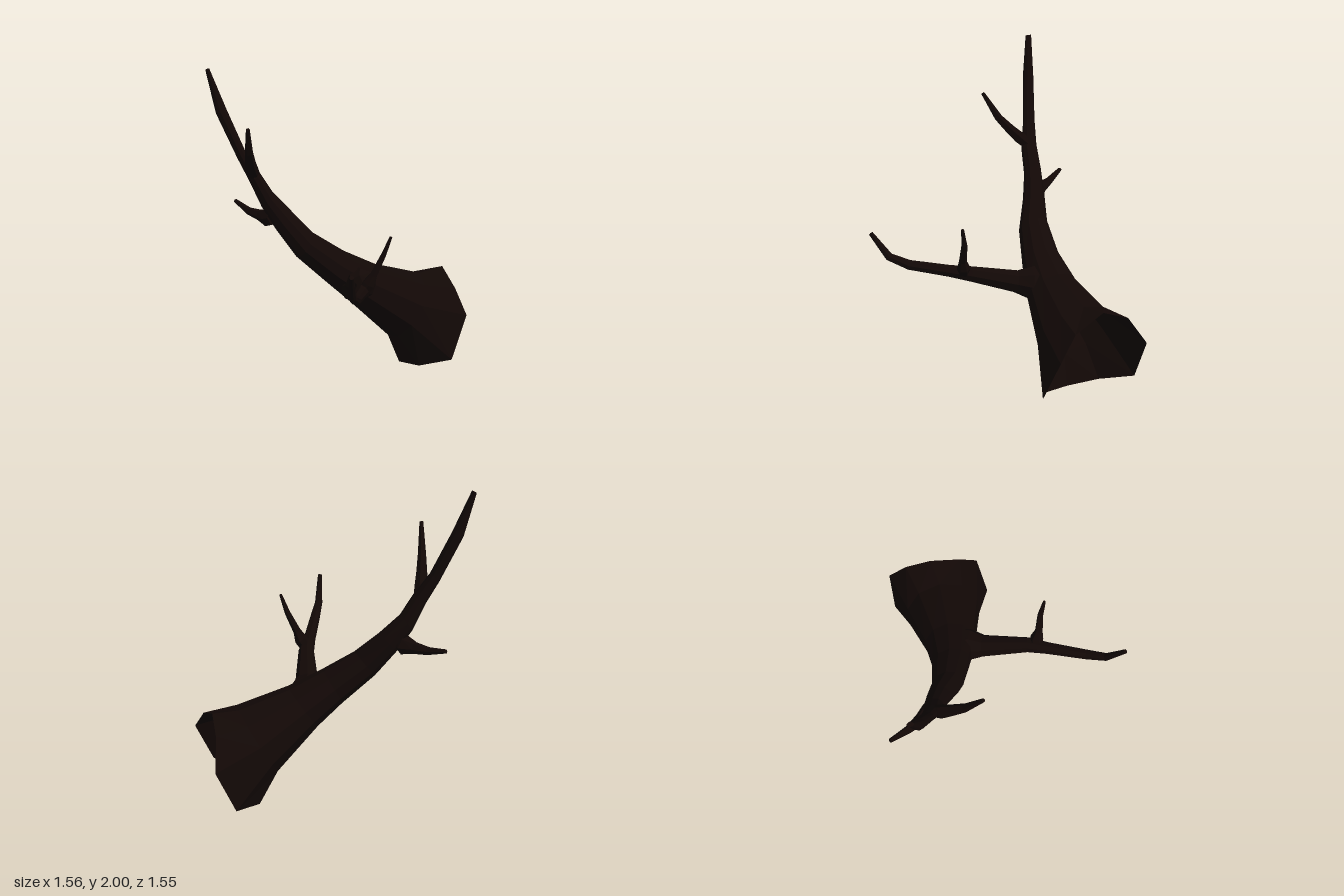
import * as THREE from 'three';

const V = (x, y, z) => new THREE.Vector3(x, y, z);

// Skin a list of rings (arrays of points), open at the start, closed at the tip.
function loft(rings) {
  const pos = [], index = [], n = rings[0].length;
  rings.forEach(ring => ring.forEach(p => pos.push(p.x, p.y, p.z)));
  for (let i = 0; i < rings.length - 1; i++) {
    for (let j = 0; j < n; j++) {
      const a = i * n + j, b = i * n + (j + 1) % n;
      index.push(a, a + n, b, b, a + n, b + n);
    }
  }
  const tip = rings[rings.length - 1].reduce((s, p) => s.add(p), V(0, 0, 0)).divideScalar(n);
  pos.push(tip.x, tip.y, tip.z);
  const last = (rings.length - 1) * n;
  for (let j = 0; j < n; j++) index.push(last + n, last + (j + 1) % n, last + j);
  const g = new THREE.BufferGeometry();
  g.setAttribute('position', new THREE.Float32BufferAttribute(pos, 3));
  g.setIndex(index);
  g.computeVertexNormals();
  return g;
}

// Elliptical ring: centre plus two half-axes.
function ellipse(c, u, v, sides) {
  return Array.from({ length: sides }, (_, j) => {
    const a = j / sides * Math.PI * 2;
    return c.clone().addScaledVector(u, Math.cos(a)).addScaledVector(v, Math.sin(a));
  });
}

// Tapered limb through [x, y, z, radius] stations.
function limb(stations, sides) {
  const pts = stations.map(s => V(s[0], s[1], s[2]));
  const rings = pts.map((p, i) => {
    const t = pts[Math.min(i + 1, pts.length - 1)].clone().sub(pts[Math.max(i - 1, 0)]).normalize();
    const side = V(1, 0, 0);
    const u = side.addScaledVector(t, -side.dot(t)).normalize();
    const v = u.clone().cross(t);
    const r = stations[i][3];
    return ellipse(p, u.multiplyScalar(r), v.multiplyScalar(r), sides);
  });
  return loft(rings);
}

export function createModel() {
  const group = new THREE.Group();
  const bark = new THREE.MeshStandardMaterial({ color: 0x120806, flatShading: true, side: THREE.DoubleSide });
  const add = (name, geometry) => {
    const mesh = new THREE.Mesh(geometry, bark);
    mesh.name = name;
    group.add(mesh);
  };

  // Flared, uneven rim at the thick, hollow end
  const rim = [
    V(0.73, 0.635, -0.32), V(0.745, 0.54, -0.12), V(0.78, 0.39, 0), V(0.66, 0.11, 0.05), V(0.48, 0.04, -0.08),
    V(0.41, 0.005, -0.27), V(0.48, 0.04, -0.46), V(0.66, 0.11, -0.61), V(0.78, 0.39, -0.61), V(0.745, 0.57, -0.49),
  ];

  // Trunk sections: upper x, y, lower x, y, centre z, half width in z
  const sections = [
    [0.56, 0.615, 0.335, 0.2, -0.288, 0.25],
    [0.24, 0.71, 0.07, 0.465, -0.288, 0.168],
    [0.03, 0.815, -0.08, 0.605, -0.31, 0.128],
    [-0.16, 0.94, -0.275, 0.79, -0.362, 0.1],
    [-0.29, 1.085, -0.39, 0.965, -0.432, 0.075],
    [-0.4, 1.21, -0.47, 1.11, -0.475, 0.06],
    [-0.475, 1.335, -0.545, 1.285, -0.488, 0.054],
    [-0.56, 1.48, -0.61, 1.43, -0.527, 0.042],
    [-0.66, 1.74, -0.73, 1.72, -0.58, 0.036],
    [-0.755, 2.0, -0.78, 1.99, -0.62, 0.02],
  ];
  const trunkRings = sections.map(([tx, ty, bx, by, z, w]) => ellipse(
    V((tx + bx) / 2, (ty + by) / 2, z), V((tx - bx) / 2, (ty - by) / 2, 0), V(0, 0, w), rim.length));
  add('trunk', loft([rim, ...trunkRings]));

  // Long forward limb, flaring into the trunk
  add('sideBranch', limb([
    [0.1, 0.61, -0.23, 0.13], [0.1, 0.625, -0.16, 0.105], [0.07, 0.637, -0.08, 0.073],
    [-0.005, 0.715, 0.2, 0.05], [-0.06, 0.738, 0.32, 0.039], [-0.165, 0.785, 0.55, 0.032],
    [-0.222, 0.84, 0.66, 0.025], [-0.26, 1.0, 0.76, 0.014],
  ], 8));

  // Small twigs
  const twigs = {
    sideBranchTwig: [[-0.01, 0.735, 0.25, 0.04], [0.015, 0.775, 0.26, 0.042], [0.037, 0.83, 0.275, 0.025],
      [0.095, 0.96, 0.293, 0.018], [0.132, 1.08, 0.322, 0.009]],
    rearTwig: [[-0.4, 1.04, -0.45, 0.05], [-0.42, 1.025, -0.505, 0.06], [-0.462, 1.03, -0.57, 0.036],
      [-0.515, 1.04, -0.65, 0.025], [-0.577, 1.085, -0.77, 0.013]],
    frontTwig: [[-0.505, 1.31, -0.495, 0.035], [-0.54, 1.37, -0.435, 0.042], [-0.562, 1.43, -0.375, 0.034],
      [-0.588, 1.515, -0.3, 0.026], [-0.615, 1.685, -0.2, 0.012]],
  };
  for (const [name, stations] of Object.entries(twigs)) add(name, limb(stations, 6));

  return group;
}
